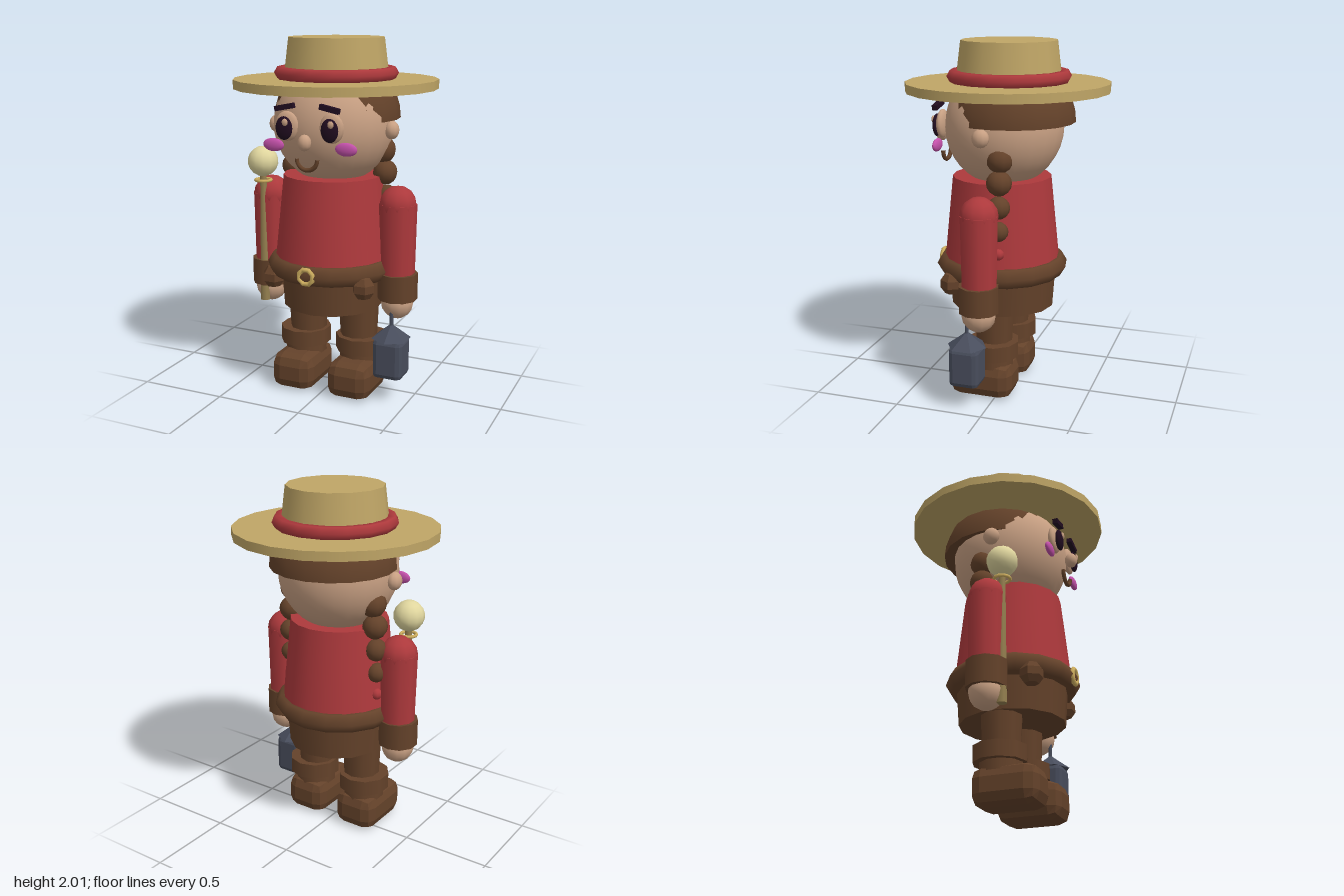
import * as THREE from 'three';
import { RoundedBoxGeometry } from 'three/addons/geometries/RoundedBoxGeometry.js';

const mat = (name, color) => {
  const m = new THREE.MeshStandardMaterial({ color });
  m.name = name;
  return m;
};

export function createModel() {
  const straw = mat('straw', 0xbfa566);
  const red = mat('red', 0xad393c);
  const skin = mat('skin', 0xc8a083);
  const brown = mat('brown', 0x64422a);
  const steel = mat('steel', 0x484d5c);
  const cream = mat('cream', 0xe0d69e);
  const pink = mat('pink', 0xc652ac);
  const dark = mat('dark', 0x210d20);
  const wood = mat('wood', 0x958050);
  const gold = mat('gold', 0xd0b060);

  const model = new THREE.Group();
  const add = (name, geo, material, x = 0, y = 0, z = 0) => {
    const m = new THREE.Mesh(geo, material);
    m.name = name;
    m.position.set(x, y, z);
    model.add(m);
    return m;
  };
  // Cylinder between two heights
  const tube = (name, material, rTop, rBottom, yTop, yBottom, x, z, sides = 12) =>
    add(name, new THREE.CylinderGeometry(rTop, rBottom, yTop - yBottom, sides), material, x, (yTop + yBottom) / 2, z);
  // Ellipsoid
  const ball = (name, material, rx, ry, rz, x, y, z, w = 14, h = 10) => {
    const m = add(name, new THREE.SphereGeometry(1, w, h), material, x, y, z);
    m.scale.set(rx, ry, rz);
    return m;
  };
  // Horizontal ring
  const ring = (name, material, R, r, x, y, z, radial = 6, tubular = 16) => {
    const geo = new THREE.TorusGeometry(R, r, radial, tubular).rotateX(Math.PI / 2);
    return add(name, geo, material, x, y, z);
  };
  // Box with chamfered edges and flat faces
  const chamferBox = (w, h, d, r) => {
    const geo = new RoundedBoxGeometry(w, h, d, 1, r);
    geo.computeVertexNormals();
    return geo;
  };
  const flat = (geo) => {
    const g = geo.index ? geo.toNonIndexed() : geo;
    g.computeVertexNormals();
    return g;
  };

  // Hat
  tube('hatBrim', straw, 0.567, 0.567, 1.775, 1.725, 0, 0, 20);
  tube('hatCrown', straw, 0.268, 0.297, 2, 1.77, 0, -0.008, 14);
  ring('hatBand', red, 0.307, 0.038, 0, 1.806, -0.008);

  // Head and hair
  ball('head', skin, 0.337, 0.337, 0.332, 0, 1.53, 0.02, 24, 18);
  add('hair', new THREE.SphereGeometry(0.352, 18, 8, 0, Math.PI * 2, 0, Math.PI / 2), brown, 0, 1.56, -0.026);
  add('hairUnderside', new THREE.CircleGeometry(0.352, 18).rotateX(Math.PI / 2), brown, 0, 1.56, -0.026);

  // Nose and smile
  ball('nose', skin, 0.037, 0.044, 0.036, 0, 1.47, 0.395, 10, 8);
  add('mouth', new THREE.TorusGeometry(0.06, 0.012, 6, 14, Math.PI).rotateZ(Math.PI), brown, 0, 1.38, 0.366);

  for (const s of [-1, 1]) {
    // Face details
    ball('eyeSocket', skin, 0.07, 0.08, 0.028, s * 0.13, 1.545, 0.338);
    ball('eye', dark, 0.05, 0.063, 0.02, s * 0.132, 1.537, 0.37);
    ball('eyeHighlight', skin, 0.018, 0.02, 0.01, s * 0.132 + 0.013, 1.57, 0.386, 8, 6);
    const brow = add('eyebrow', new THREE.BoxGeometry(0.11, 0.028, 0.03), dark, s * 0.13, 1.648, 0.363);
    brow.rotation.z = -s * 0.2;
    ball('cheek', pink, 0.063, 0.036, 0.018, s * 0.212, 1.44, 0.338);
    ball('ear', skin, 0.04, 0.05, 0.048, s * 0.35, 1.512, 0.04, 10, 8);

    // Braid with a tie at the end
    const beads = [[0.268, 1.39, 0.074], [0.283, 1.265, 0.07], [0.292, 1.132, 0.063], [0.296, 1.0, 0.055]];
    for (const [x, y, r] of beads) ball('braidBead', brown, r, r, r, s * x, y, -0.04, 10, 8);
    ball('braidTie', red, 0.033, 0.033, 0.033, s * 0.298, 0.872, -0.04, 8, 6);

    // Arm
    ball('shoulder', red, 0.105, 0.105, 0.105, s * 0.39, 1.105, 0.037, 10, 8);
    tube('sleeve', red, 0.105, 0.098, 1.11, 0.7, s * 0.392, 0.037, 10);
    tube('sleeveCuff', brown, 0.112, 0.112, 0.72, 0.57, s * 0.397, 0.04, 10);
    ball('hand', skin, 0.092, 0.095, 0.096, s * 0.397, 0.55, 0.04, 12, 8);

    // Leg and boot
    tube('leg', brown, 0.115, 0.105, 0.52, 0.3, s * 0.16, 0.03, 10);
    tube('trouserCuff', brown, 0.148, 0.148, 0.325, 0.235, s * 0.178, 0.03, 10);
    tube('bootShaft', brown, 0.118, 0.122, 0.24, 0.12, s * 0.174, 0.035, 10);
    add('boot', chamferBox(0.258, 0.212, 0.366, 0.065), brown, s * 0.174, 0.1, 0.083);

    // Belt pouch
    const pouch = add('beltPouch', flat(new THREE.SphereGeometry(0.066, 6, 5)), brown, s * 0.275, 0.672, 0.243);
    pouch.scale.y = 1.05;
  }

  // Torso
  tube('shirt', red, 0.278, 0.328, 1.25, 0.76, 0, 0.034, 18);
  ring('belt', brown, 0.315, 0.06, 0, 0.738, 0.034);
  tube('hips', brown, 0.314, 0.297, 0.74, 0.5, 0, 0.03, 14).scale.x = 0.95;
  add('buckle', new THREE.TorusGeometry(0.042, 0.014, 6, 8).rotateZ(Math.PI / 8), gold, 0, 0.74, 0.392);

  // Staff
  tube('staffShaft', wood, 0.019, 0.028, 1.24, 0.48, -0.397, 0.125, 8);
  ring('staffRing', gold, 0.045, 0.009, -0.397, 1.195, 0.125, 6, 12);
  ball('staffOrb', cream, 0.087, 0.087, 0.087, -0.397, 1.304, 0.125, 12, 9);

  // Lantern
  add('lanternBody', chamferBox(0.172, 0.234, 0.172, 0.03), steel, 0.391, 0.25, 0.113);
  add('lanternRoof', flat(new THREE.ConeGeometry(0.112, 0.085, 6)), steel, 0.391, 0.4, 0.113);
  tube('lanternHandle', steel, 0.011, 0.011, 0.52, 0.42, 0.391, 0.113, 6);

  return model;
}
